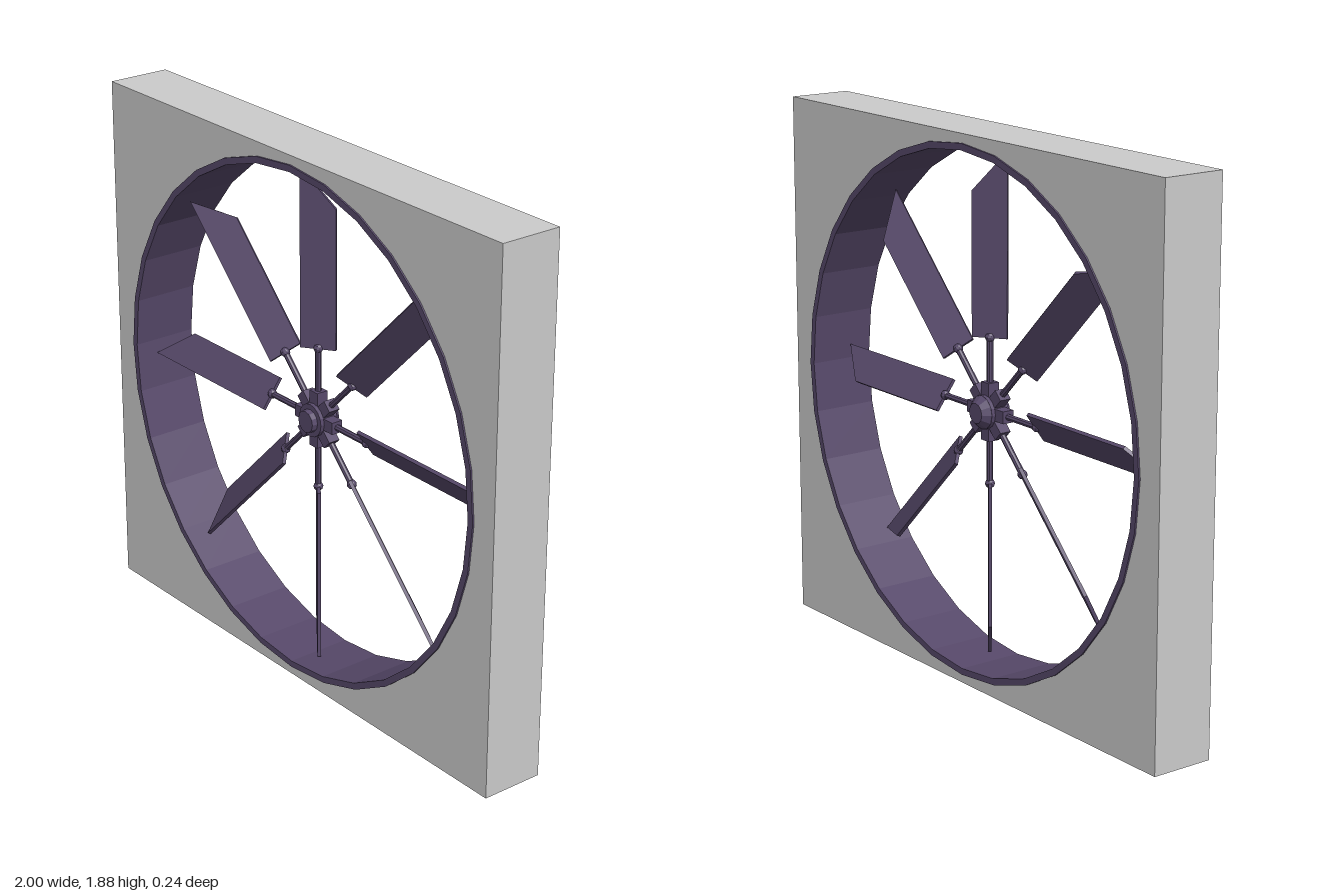
import * as THREE from 'three';

const CENTER_Y = 0.94;
const SIDES = 32;
const BLADES = 8;

const wallMat = new THREE.MeshStandardMaterial({ color: 0xcccccc, flatShading: true });
const fanMat = new THREE.MeshStandardMaterial({ color: 0x57496a, flatShading: true });

function addMesh(parent, name, geometry, material = fanMat) {
  const mesh = new THREE.Mesh(geometry, material);
  mesh.name = name;
  parent.add(mesh);
  return mesh;
}

function polygon(radius, sides) {
  return Array.from({ length: sides }, (_, i) => {
    const a = (i / sides) * Math.PI * 2;
    return new THREE.Vector2(Math.cos(a) * radius, Math.sin(a) * radius);
  });
}

// Extrusion centred on z = 0
function slab(shape, depth) {
  return new THREE.ExtrudeGeometry(shape, { depth, bevelEnabled: false }).translate(0, 0, -depth / 2);
}

// Cylinder whose axis runs along z, centred at z
function zCylinder(front, back, depth, sides, z) {
  return new THREE.CylinderGeometry(front, back, depth, sides).rotateX(Math.PI / 2).translate(0, 0, z);
}

// One arm along +x: collar, rod, joint and pitched blade with a slanted tip
function createArm() {
  const arm = new THREE.Group();
  addMesh(arm, 'collar', new THREE.BoxGeometry(0.06, 0.042, 0.042)).position.x = 0.07;
  addMesh(arm, 'rod', new THREE.CylinderGeometry(0.011, 0.011, 0.2, 8).rotateZ(Math.PI / 2)).position.x = 0.16;
  addMesh(arm, 'joint', new THREE.SphereGeometry(0.017, 8, 6)).position.x = 0.252;
  const half = 0.061;
  const outline = new THREE.Shape([
    new THREE.Vector2(0.25, -half),
    new THREE.Vector2(0.74, -half),
    new THREE.Vector2(0.875, half),
    new THREE.Vector2(0.25, half),
  ]);
  addMesh(arm, 'blade', slab(outline, 0.012)).rotation.x = THREE.MathUtils.degToRad(36);
  return arm;
}

export function createModel() {
  const model = new THREE.Group();
  model.name = 'wallFan';

  // Square wall panel with a round opening
  const panel = new THREE.Shape([
    new THREE.Vector2(-1, -CENTER_Y),
    new THREE.Vector2(1, -CENTER_Y),
    new THREE.Vector2(1, CENTER_Y),
    new THREE.Vector2(-1, CENTER_Y),
  ]);
  panel.holes.push(new THREE.Path(polygon(0.9, SIDES).reverse()));
  addMesh(model, 'wallPanel', slab(panel, 0.224), wallMat).position.y = CENTER_Y;

  // Ring lining the opening, slightly proud of both faces
  const ring = new THREE.Shape(polygon(0.909, SIDES));
  ring.holes.push(new THREE.Path(polygon(0.886, SIDES).reverse()));
  addMesh(model, 'ring', slab(ring, 0.236)).position.y = CENTER_Y;

  // Rotor: hub, front cap, rear cone and arms
  const rotor = new THREE.Group();
  rotor.name = 'rotor';
  rotor.position.y = CENTER_Y;
  model.add(rotor);
  addMesh(rotor, 'hub', zCylinder(0.058, 0.058, 0.07, 16, 0));
  addMesh(rotor, 'frontCap', zCylinder(0.038, 0.04, 0.02, 12, 0.045));
  addMesh(rotor, 'rearCap', zCylinder(0.058, 0.035, 0.025, 12, -0.0475));
  for (let i = 0; i < BLADES; i++) {
    const arm = createArm();
    arm.name = 'arm' + (i + 1);
    arm.rotation.z = (i / BLADES) * Math.PI * 2;
    rotor.add(arm);
  }
  return model;
}
